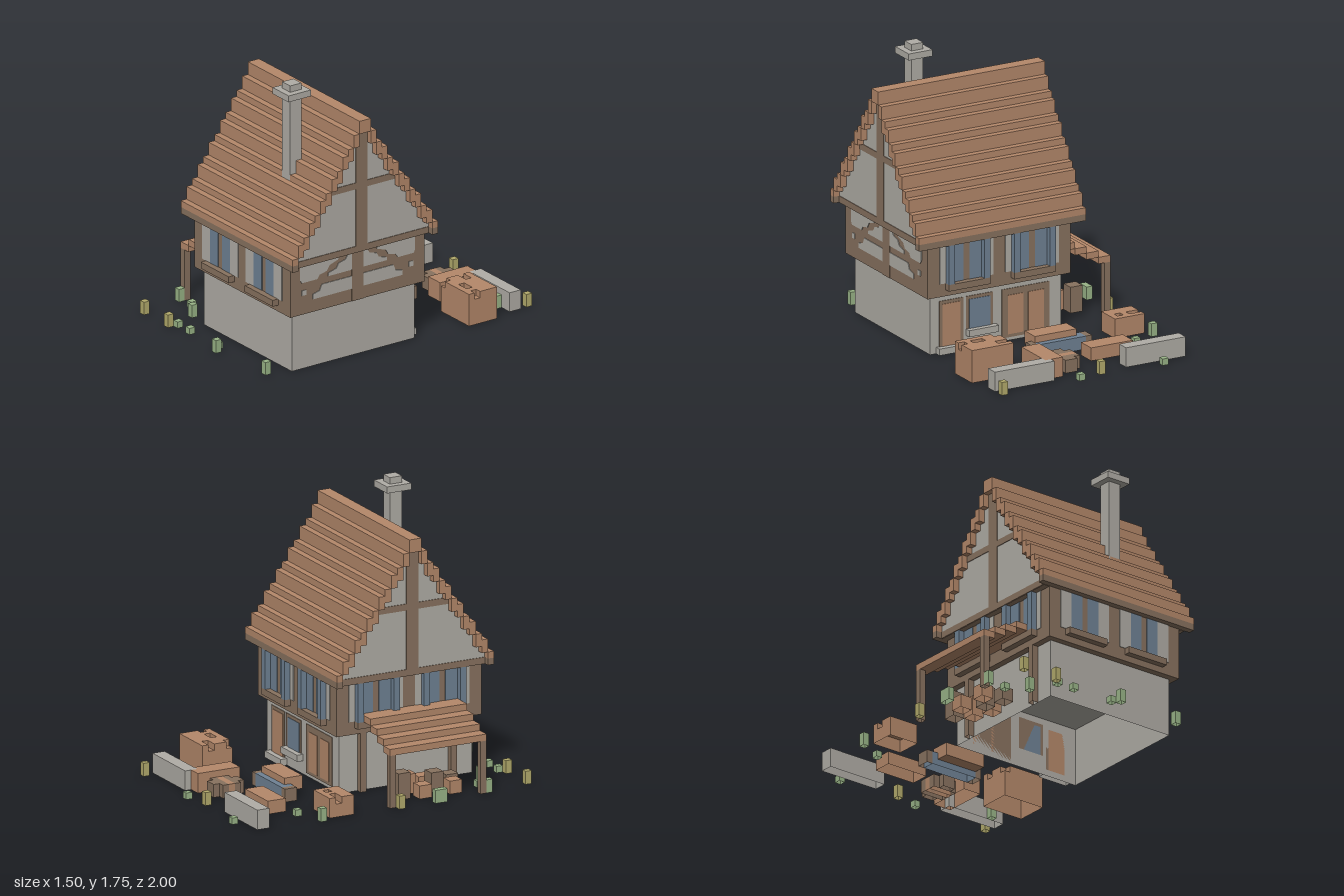
import * as THREE from 'three';

const V = 1 / 24; // one block of the model
const paint = (name, color) => {
  const m = new THREE.MeshStandardMaterial({ color, side: THREE.DoubleSide });
  m.name = name;
  return m;
};

export function createModel() {
  const tile = paint('clayTile', 0xb4886a);
  const timber = paint('timber', 0x88725f);
  const stone = paint('plaster', 0xb0ada6);
  const blue = paint('blueGlass', 0x6f8294);
  const green = paint('leafGreen', 0x99b487);
  const yellow = paint('dryGrass', 0xb3ab6c);

  const model = new THREE.Group();
  model.name = 'timberHouse';
  let part = model;
  const section = (name) => {
    part = new THREE.Group();
    part.name = name;
    model.add(part);
  };
  const add = (name, geo, mat) => {
    const mesh = new THREE.Mesh(geo, mat);
    mesh.name = name;
    part.add(mesh);
    return mesh;
  };
  // Box from block coordinates; boxes on the ground are open underneath
  const box = (name, mat, x0, x1, y0, y1, z0, z1) => {
    const g = new THREE.BoxGeometry((x1 - x0) * V, (y1 - y0) * V, (z1 - z0) * V);
    if (y0 === 0) {
      const idx = Array.from(g.index.array);
      idx.splice(18, 6);
      g.setIndex(idx);
      g.clearGroups();
    }
    g.translate((x0 + x1) / 2 * V, (y0 + y1) / 2 * V, (z0 + z1) / 2 * V);
    return add(name, g, mat);
  };
  // Outline in (z, y), extruded along x from x0 to x1
  const slab = (name, mat, pts, x0, x1) => {
    const shape = new THREE.Shape(pts.map(([z, y]) => new THREE.Vector2(z * V, y * V)));
    const g = new THREE.ExtrudeGeometry(shape, { depth: (x1 - x0) * V, bevelEnabled: false });
    g.rotateY(-Math.PI / 2).translate(x1 * V, 0, 0);
    return add(name, g, mat);
  };

  // Walls
  section('walls');
  box('groundFloor', stone, -7, 15, 0, 8.96, -3, 19);
  box('upperFloor', timber, -8, 16, 9, 17, -4, 20);

  // Something fixed to an upper wall, u along it and d outwards
  const onWall = (side, name, mat, u0, u1, y0, y1, d) => {
    if (side === 'front') box(name, mat, u0, u1, y0, y1, 20, 20 + d);
    else if (side === 'back') box(name, mat, u0, u1, y0, y1, -4 - d, -4);
    else box(name, mat, -8 - d, -8, y0, y1, u0 + 4, u1 + 4);
  };

  // Upper windows, two on each of three walls
  for (const side of ['front', 'back', 'left']) {
    section(side + 'Windows');
    for (const u of [-6, 5]) {
      onWall(side, 'panel', stone, u, u + 2, 11, 17, 0.1);
      onWall(side, 'pane', blue, u + 2, u + 4, 11, 17, 0.1);
      onWall(side, 'pane', blue, u + 5, u + 7, 11, 17, 0.1);
      onWall(side, 'panel', stone, u + 7, u + 9, 11, 17, 0.1);
      onWall(side, 'sill', timber, u + 1, u + 8, 10, 11, 1);
      if (side !== 'front') {
        onWall(side, 'shutter', blue, u + 1, u + 2, 11, 17, 1);
        onWall(side, 'shutter', blue, u + 7, u + 8, 11, 17, 1);
      }
    }
  }

  // Plaster fields between the braces on the right wall
  section('bracedWall');
  for (const s of [1, -1]) {
    const field = (...pts) =>
      slab('plasterField', stone, pts.map(([d, y]) => [8 + s * d, y]), 16, 16.1);
    field([7.2, 14], [10, 14], [10.3, 14.5], [10.3, 17], [3.3, 17], [3.5, 16.2], [5, 15.7], [5.5, 14.9], [6.8, 14.6]);
    field([1, 14], [5.3, 14], [5.2, 14.5], [3.8, 14.9], [3.4, 15.6], [2.2, 15.9], [1.6, 16.7], [1, 16.8]);
    field([1, 11], [8, 11], [8, 11.8], [6.8, 12.1], [6.4, 13], [1, 13]);
    field([9.2, 12], [10, 12], [10, 12.8], [9.2, 12.8]);
  }

  // Stepped roof
  section('roof');
  const height = (i) => 19 + Math.ceil(1.5 * i);
  for (let i = 0; i < 12; i++) {
    const y = height(i);
    for (const z of [-5 + i, 20 - i]) {
      box('tileRow', tile, -10, 18, i ? y - 2 : y - 1, y, z, z + 1);
      if (!i) box('eaveBoard', timber, -10, 18, y - 2, y - 1, z, z + 1);
    }
  }
  box('ridge', tile, -10, 18, 36, 38, 7, 9);

  // Gables, following the underside of the tiles
  section('gables');
  const back = [], front = [];
  for (let i = 1; i < 12; i++) {
    const y = height(i) - 2;
    back.push([-5 + i, y], [-4 + i, y]);
    front.unshift([20 - i, y], [21 - i, y]);
  }
  slab('gableWall', stone, [[-4, 17], ...back, [7, 36], [9, 36], ...front, [20, 17]], -9, 17);
  for (const x of [-9.1, 17]) {
    box('gableBeam', timber, x, x + 0.1, 17, 18, -4, 20);
    box('collarBeam', timber, x, x + 0.1, 27, 28, 2, 14);
    box('kingPost', timber, x, x + 0.1, 18, 36, 7, 9);
  }
  box('middlePost', timber, 16, 16.1, 9, 17, 7, 9);
  box('gableSoffit', timber, -9, 17, 16.95, 17, -4, 20);

  // Chimney
  section('chimney');
  box('stack', stone, 7, 9, 24, 42, 13, 15);
  box('cap', stone, 6, 10, 40, 41, 12, 16);

  // Ground floor openings at the back
  section('backEntrance');
  const opening = (name, mat, x0, x1, y0, y1, d) => box(name, mat, x0, x1, y0, y1, -3 - d, -3);
  opening('doorFrame', timber, 9.5, 13.5, 1, 8, 0.1);
  opening('door', tile, 10, 13, 1, 7.5, 0.18);
  opening('doorStep', stone, 9, 14, 0, 1, 1);
  opening('windowFrame', timber, 4.5, 9, 3, 8, 0.1);
  opening('windowPane', blue, 5, 8.5, 3, 7.5, 0.18);
  opening('windowSill', stone, 4, 9, 2, 3, 1);
  opening('wideDoor', timber, -5, 3, 0.5, 8, 0.1);
  opening('wideDoorPanel', tile, -4, -1.4, 1, 7, 0.18);
  opening('wideDoorPanel', tile, -0.6, 2, 1, 7, 0.18);

  // Stepped porch on the left side
  section('porch');
  for (let i = 0; i < 4; i++)
    box('porchRoof', tile, -17 + 2 * i, i === 3 ? -8 : -15 + 2 * i, 8 + i, 9 + i, 0, 16);
  for (const z of [0, 15]) {
    box('porchPost', timber, -17, -16, 0, 8, z, z + 1);
    box('wallPost', timber, -8, -7, 0, 9, z, z + 1);
  }

  // Small crates under the porch
  section('porchCrates');
  for (const [x, z, w, h, m] of [[-14, 3, 2, 4, timber], [-15, 6, 2, 2, tile], [-12, 5, 2, 3, tile],
    [-13, 9, 2, 3, timber], [-11, 8, 2, 2, tile], [-15, 11, 2, 2, tile], [-12, 12, 2, 2, timber]])
    box('smallCrate', m, x, x + w, 0, h, z, z + 2);

  // Yard behind the house
  section('yard');
  for (const x of [-17, 5]) box('stoneWall', stone, x, x + 10, 0, 3, -22, -20);
  box('largeCrate', tile, 9, 16, 0, 4, -17, -12);
  for (const [x0, x1, z] of [[9, 16, -17], [11, 16, -16], [9, 16, -15], [9, 12, -14], [14, 15, -14], [10, 16, -13]])
    box('largeCrateLid', tile, x0, x1, 4, 5, z, z + 1);
  box('cornerCrate', tile, -17, -12, 0, 2, -10, -6);
  for (const [x0, x1, z] of [[-17, -12, -10], [-15, -14, -9], [-13, -12, -9], [-17, -12, -8], [-17, -12, -7]])
    box('cornerCrateLid', tile, x0, x1, 2, 3, z, z + 1);
  box('lowCrate', tile, -11, -4, 0, 2, -17, -14);
  box('bench', tile, 3, 6, 0, 3, -21, -14);
  box('cart', tile, -1, 3, 0, 2, -18, -17);
  for (const z of [-19, -17]) box('cartSide', timber, -1, 3, 0, 2, z, z + 1);
  for (const z of [-20, -16]) box('cartWheel', timber, 0, 2, 0, 2, z, z + 1);
  box('troughWater', blue, -6, 2, 0, 2, -12, -10);
  for (const x of [-7, 2]) box('troughEnd', timber, x, x + 1, 0, 2, -12, -10);
  box('table', tile, -5, 2, 1, 3, -11, -8);

  // Grass tufts: x, z, height, dry, length
  section('grass');
  for (const [x, z, h, dry = 0, len = 1] of [[-13, -24, 1], [1, -24, 1], [14, -24, 2, 1], [-3, -23, 2, 1],
    [12, -20, 2], [-14, -14, 1], [-18, -12, 2], [-18, 1, 2, 1], [-18, 7, 2, 0, 2], [-17, 16, 2],
    [-14, 16, 1], [-11, 18, 2], [-9, 22, 1], [-6, 22, 1], [-10, 23, 2, 1], [-16, 23, 2, 1],
    [1, 22, 1], [2, 23, 2], [13, 22, 2]])
    box('tuft', dry ? yellow : green, x, x + 1, 0, h, z, z + len);

  return model;
}
